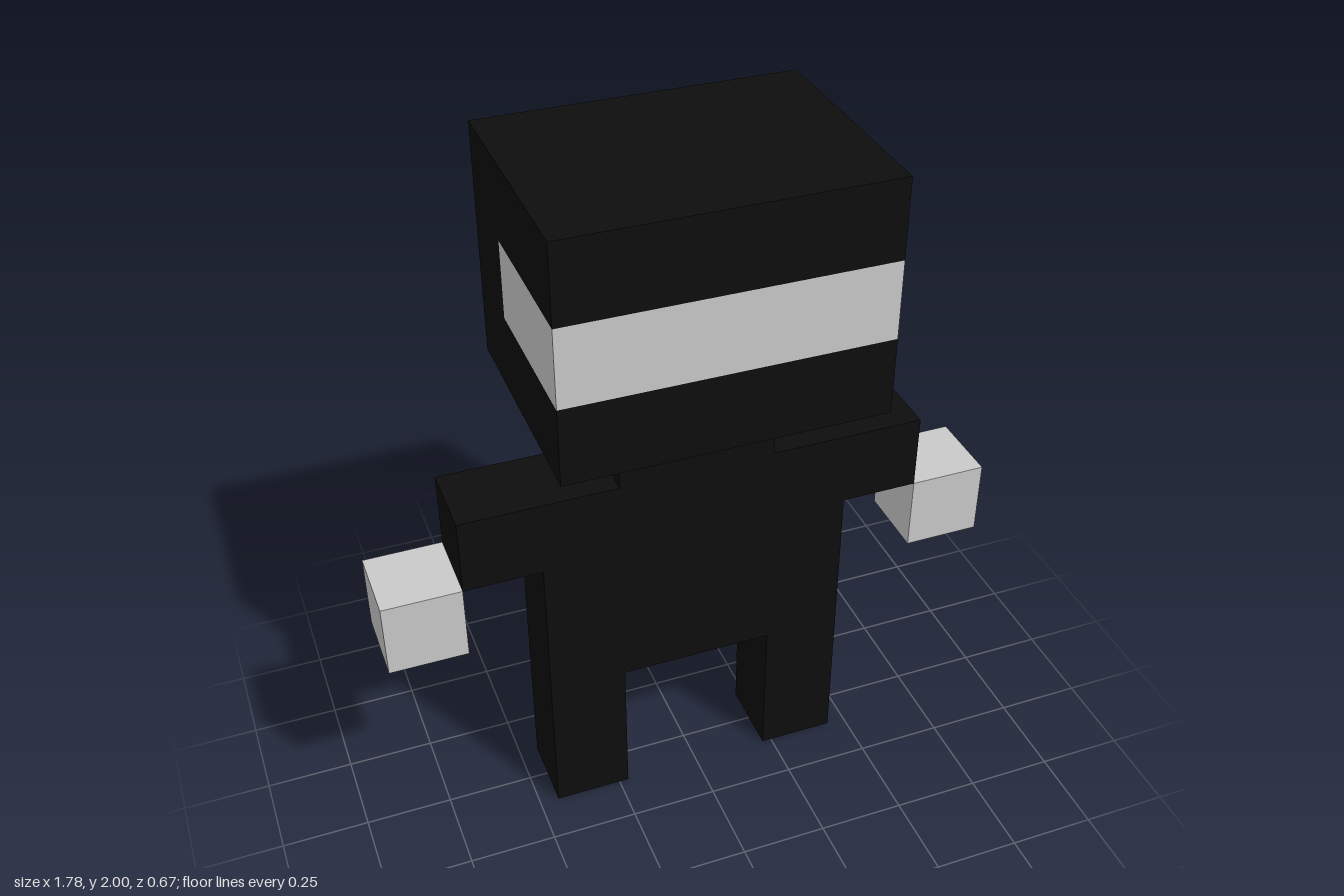
import * as THREE from 'three';

const U = 2 / 9; // one block; the figure is nine blocks tall

export function createModel() {
  const model = new THREE.Group();
  model.name = 'blockFigure';

  const black = new THREE.MeshStandardMaterial({ color: 0x0d0d0d });
  black.name = 'black';
  const lightGrey = new THREE.MeshStandardMaterial({ color: 0xc8c8c8 });
  lightGrey.name = 'lightGrey';

  // Box from its min and max corners, in blocks
  function block(name, material, [x0, y0, z0], [x1, y1, z1], parent = model) {
    const geometry = new THREE.BoxGeometry((x1 - x0) * U, (y1 - y0) * U, (z1 - z0) * U);
    const mesh = new THREE.Mesh(geometry, material);
    mesh.position.set((x0 + x1) / 2 * U, (y0 + y1) / 2 * U, (z0 + z1) / 2 * U);
    mesh.name = name;
    parent.add(mesh);
  }

  // Head: stacked slabs, with the visor band wrapping front and sides
  const head = new THREE.Group();
  head.name = 'head';
  model.add(head);
  block('jaw', black, [-2, 6, -1.5], [2, 7, 1.5], head);
  block('visor', lightGrey, [-2, 7, -0.5], [2, 8, 1.5], head);
  block('backOfHead', black, [-2, 7, -1.5], [2, 8, -0.5], head);
  block('crown', black, [-2, 8, -1.5], [2, 9, 1.5], head);

  // Neck and torso
  block('neck', black, [-1, 5, -0.5], [1, 6, 0.5]);
  block('torso', black, [-2, 2, -0.5], [2, 5, 0.5]);

  // Limbs, mirrored
  for (const [side, s] of [['left', 1], ['right', -1]]) {
    const limb = (part, material, xIn, xOut, y0, y1) =>
      block(side + part, material,
        [Math.min(s * xIn, s * xOut), y0, -0.5], [Math.max(s * xIn, s * xOut), y1, 0.5]);
    limb('Arm', black, 2, 3, 4, 5);
    limb('Hand', lightGrey, 3, 4, 3, 4);
    limb('Leg', black, 1, 2, 0, 2);
  }

  return model;
}
